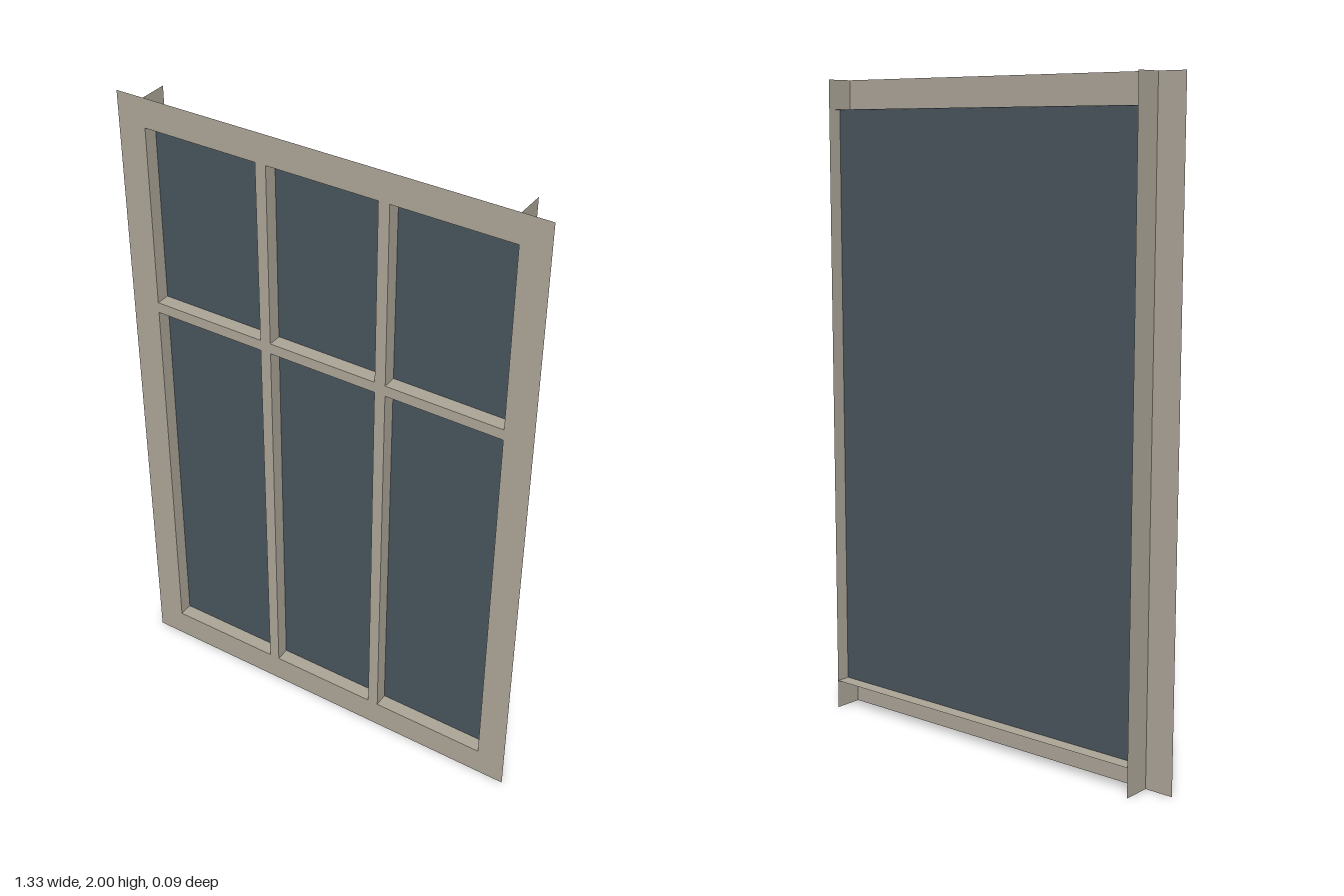
import * as THREE from 'three';

const W = 0.665, H = 2;            // outer half width, height
const OX = 0.575, Y0 = 0.09, Y1 = 1.91; // opening
const D = 0.045;                   // half depth
const BAR = 0.034;                 // glazing bar width

const frameMat = new THREE.MeshStandardMaterial({ color: 0xaba497, side: THREE.DoubleSide });
const glassMat = new THREE.MeshStandardMaterial({ color: 0x48545c, side: THREE.DoubleSide });

function rect(path, x0, y0, x1, y1) {
  path.moveTo(x0, y0);
  path.lineTo(x1, y0);
  path.lineTo(x1, y1);
  path.lineTo(x0, y1);
  path.closePath();
  return path;
}

export function createModel() {
  const model = new THREE.Group();
  model.name = 'window';

  function add(name, geometry, x, y, z, material = frameMat) {
    const mesh = new THREE.Mesh(geometry, material);
    mesh.name = name;
    mesh.position.set(x, y, z);
    model.add(mesh);
    return mesh;
  }

  // Flat front casing with the window opening cut out
  const casing = rect(new THREE.Shape(), -W, 0, W, H);
  casing.holes.push(rect(new THREE.Path(), -OX, Y0, OX, Y1));
  add('frontCasing', new THREE.ShapeGeometry(casing), 0, 0, D);

  // Thin side jambs run the full height
  for (const [name, side] of [['leftJamb', 1], ['rightJamb', -1]]) {
    add(name, new THREE.PlaneGeometry(2 * D, H), side * OX, H / 2, 0).rotation.y = side * Math.PI / 2;
  }

  // Thin sill and head span between the jambs
  for (const [name, y] of [['sill', Y0], ['head', Y1]]) {
    add(name, new THREE.PlaneGeometry(2 * OX, 2 * D), 0, y, 0).rotation.x = -Math.PI / 2;
  }

  // Single pane of glass at mid depth
  add('glass', new THREE.PlaneGeometry(2 * OX, Y1 - Y0), 0, (Y0 + Y1) / 2, 0, glassMat);

  // Glazing bars in front of the glass: two uprights and a crossbar in three pieces
  const barDepth = D - 0.001, barZ = 0.001 + barDepth / 2;
  const uprights = [-0.192, 0.19], crossY = 1.328;
  for (const x of uprights) {
    add('uprightBar', new THREE.BoxGeometry(BAR, Y1 - Y0, barDepth), x, (Y0 + Y1) / 2, barZ);
  }
  const starts = [-OX, ...uprights.map(x => x + BAR / 2)];
  const ends = [...uprights.map(x => x - BAR / 2), OX];
  starts.forEach((a, i) => {
    const b = ends[i];
    add('crossBar', new THREE.BoxGeometry(b - a, BAR, barDepth), (a + b) / 2, crossY, barZ);
  });

  return model;
}
